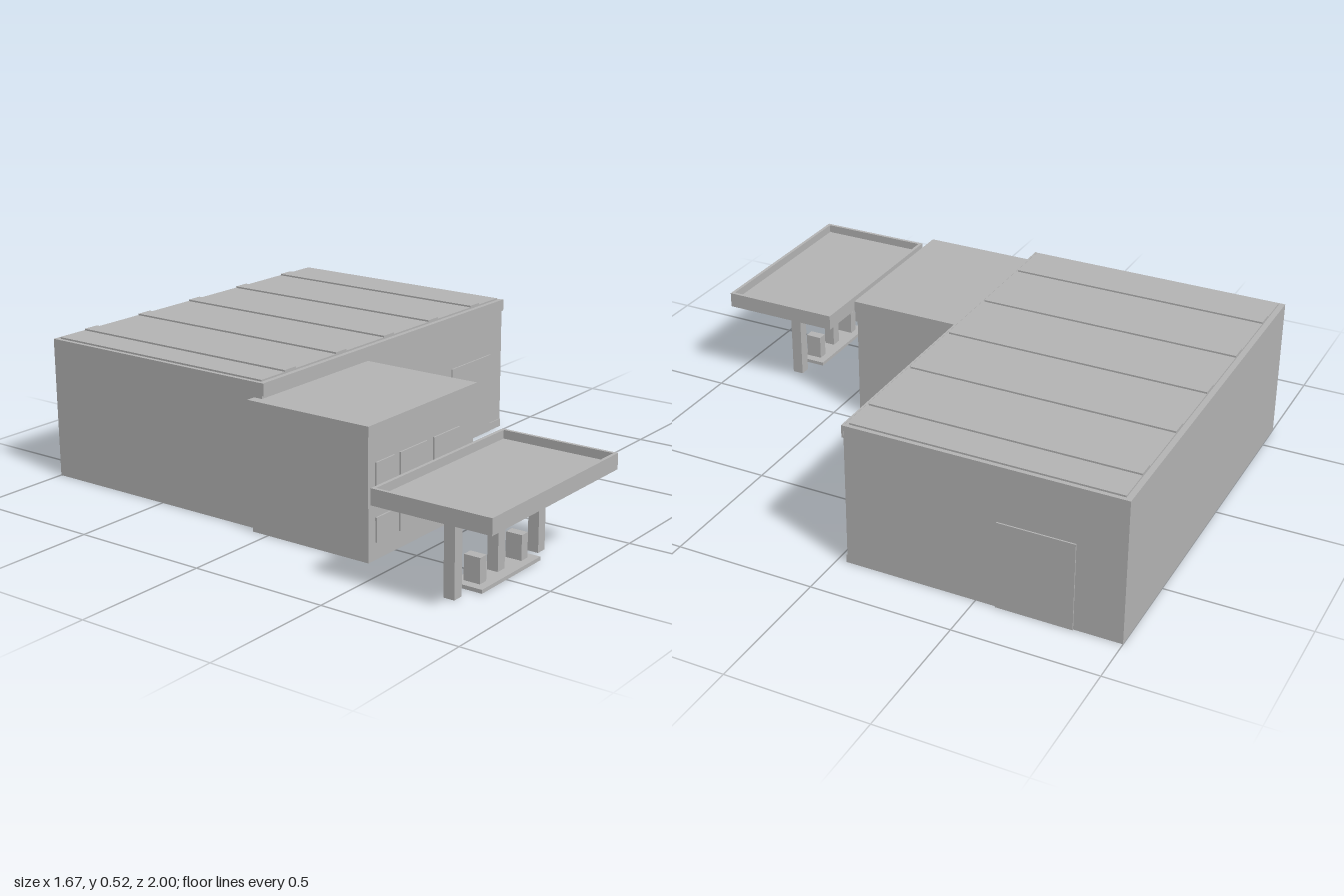
import * as THREE from 'three';

export function createModel() {
  const root = new THREE.Group();
  const grey = new THREE.MeshStandardMaterial({ color: 0xb3b3b3 });
  grey.name = 'plain grey';

  // Box given by its limits on each axis
  function block(parent, name, x0, x1, y0, y1, z0, z1) {
    const mesh = new THREE.Mesh(new THREE.BoxGeometry(x1 - x0, y1 - y0, z1 - z0), grey);
    mesh.position.set((x0 + x1) / 2, (y0 + y1) / 2, (z0 + z1) / 2);
    mesh.name = name;
    parent.add(mesh);
  }
  function group(name) {
    const g = new THREE.Group();
    g.name = name;
    root.add(g);
    return g;
  }

  // Workshop hall
  const hall = group('workshopHall');
  block(hall, 'hallWalls', -0.62, 0.827, 0, 0.513, -1, -0.037);
  block(hall, 'hallFascia', -0.62, 0.828, 0.47, 0.514, -0.037, -0.03);
  block(hall, 'hallRoof', -0.605, 0.812, 0.513, 0.519, -0.98, -0.05);
  for (let i = 0; i < 5; i++) {
    const x = -0.455 + i * 0.278;
    block(hall, 'roofStrip', x - 0.03, x + 0.03, 0.519, 0.525, -0.98, -0.05);
  }

  // Garage doors with plinth pieces between them
  for (const [a, b] of [[0.11, 0.383], [0.483, 0.747]]) {
    block(hall, 'garageDoor', a, b, 0, 0.31, -0.037, -0.031);
  }
  for (const [a, b] of [[-0.05, 0.11], [0.383, 0.483], [0.747, 0.827]]) {
    block(hall, 'plinth', a, b, 0, 0.03, -0.037, -0.033);
  }
  block(hall, 'sideDoor', 0.827, 0.832, 0, 0.315, -0.835, -0.57);

  // Shop
  const shop = group('shop');
  block(shop, 'shopWalls', -0.647, -0.05, 0, 0.425, -0.065, 0.415);
  block(shop, 'shopRoof', -0.655, -0.042, 0.425, 0.46, -0.07, 0.422);
  for (const [a, b] of [[-0.61, -0.51], [-0.48, -0.33], [-0.29, -0.14]]) {
    block(shop, 'upperWindow', a, b, 0.23, 0.33, 0.415, 0.421);
    block(shop, 'lowerPanel', a, b, 0.06, 0.145, 0.415, 0.421);
  }

  // Forecourt canopy: slab with a raised rim
  const canopy = group('canopy');
  const [x0, x1, z0, z1, t] = [-0.836, -0.102, 0.565, 1, 0.012];
  block(canopy, 'canopySlab', x0 + t, x1 - t, 0.285, 0.31, z0 + t, z1 - t);
  for (const z of [z0, z1 - t]) block(canopy, 'canopyRim', x0, x1, 0.285, 0.34, z, z + t);
  for (const x of [x0, x1 - t]) block(canopy, 'canopyRimEnd', x, x + t, 0.285, 0.34, z0 + t, z1 - t);
  for (const x of [-0.713, -0.471, -0.23]) {
    block(canopy, 'canopyPost', x - 0.02, x + 0.02, 0, 0.29, 0.763, 0.803);
  }

  // Pump island
  const island = group('pumpIsland');
  block(island, 'islandBase', -0.64, -0.3, 0, 0.013, 0.725, 0.842);
  for (const x of [-0.59, -0.35]) {
    block(island, 'pump', x - 0.018, x + 0.018, 0.013, 0.1, 0.753, 0.813);
  }
  return root;
}
